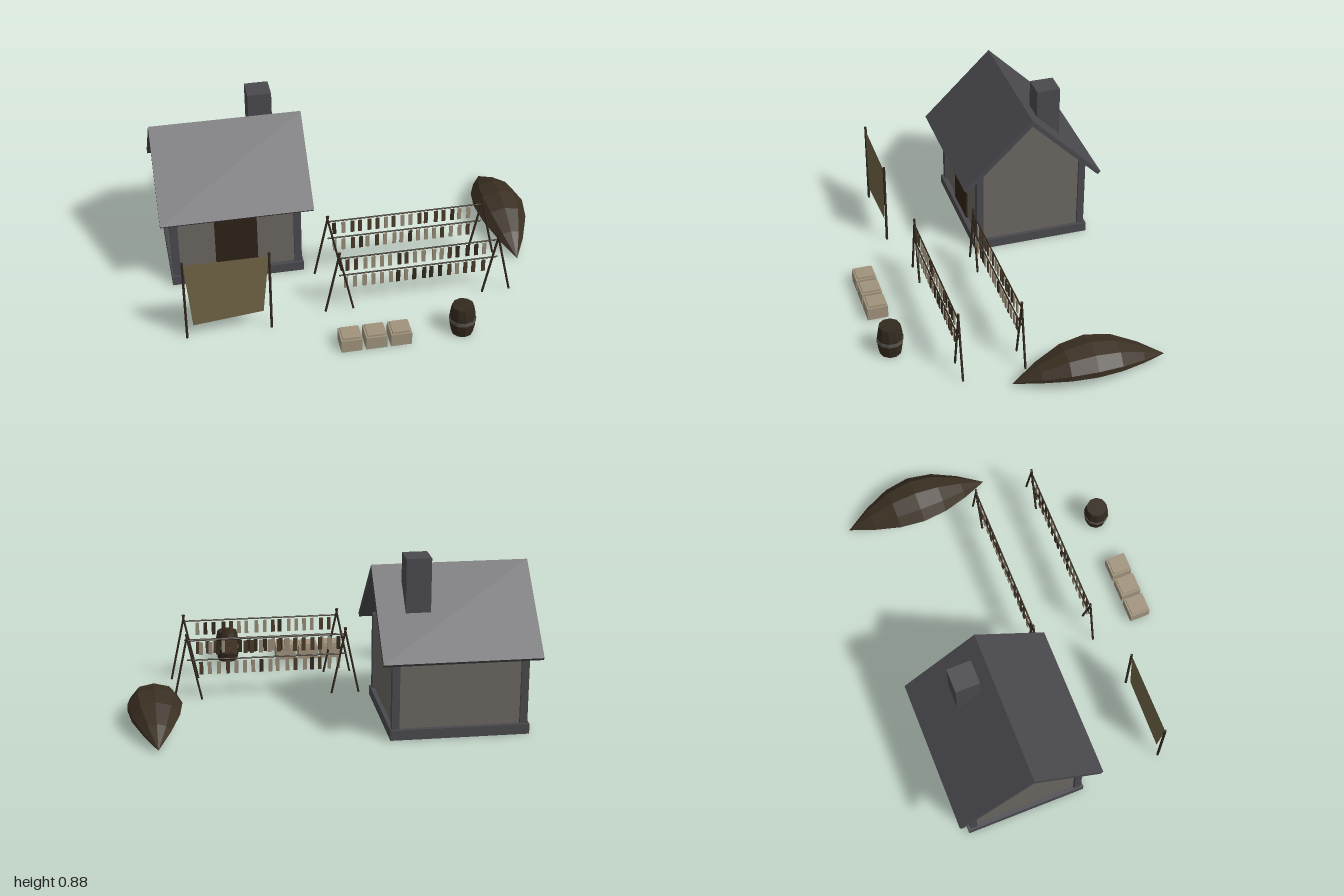
import * as THREE from 'three';

const mat = (name, color) => Object.assign(new THREE.MeshStandardMaterial({ color, flatShading: true }), { name });

export function createModel() {
  const slate = mat('slate', 0x4a494e), plaster = mat('plaster', 0x6b6761);
  const crateWood = mat('crateWood', 0xa0937c), canvas = mat('canvas', 0x716446);
  const darkWood = mat('darkWood', 0x33291e), hullWood = mat('hullWood', 0x3a2f22);
  const doorWood = mat('doorWood', 0x2d2316), iron = mat('iron', 0x58534d);
  const paleFish = mat('paleFish', 0x988b77), brownFish = mat('brownFish', 0x4a3a29);
  canvas.side = THREE.DoubleSide;

  const model = new THREE.Group();
  const group = (name) => {
    const g = new THREE.Group();
    g.name = name;
    model.add(g);
    return g;
  };
  const add = (parent, name, geo, material) => {
    const m = new THREE.Mesh(geo, material);
    m.name = name;
    parent.add(m);
    return m;
  };
  // box given by its minimum and maximum corners
  const box = (parent, name, material, x0, x1, y0, y1, z0, z1) => {
    const m = add(parent, name, new THREE.BoxGeometry(x1 - x0, y1 - y0, z1 - z0), material);
    m.position.set((x0 + x1) / 2, (y0 + y1) / 2, (z0 + z1) / 2);
    return m;
  };
  // (z, y) profile extruded along x
  const prism = (parent, name, material, pts, x0, x1) => {
    const shape = new THREE.Shape(pts.map(([z, y]) => new THREE.Vector2(z, y)));
    const geo = new THREE.ExtrudeGeometry(shape, { depth: x1 - x0, bevelEnabled: false });
    geo.rotateY(-Math.PI / 2).translate(x1, 0, 0);
    return add(parent, name, geo, material);
  };
  // round pole between two points
  const pole = (parent, name, a, b, r) => {
    const p = new THREE.Vector3(...a), q = new THREE.Vector3(...b);
    const m = add(parent, name, new THREE.CylinderGeometry(r, r, p.distanceTo(q), 6), darkWood);
    m.position.copy(p).add(q).multiplyScalar(0.5);
    m.quaternion.setFromUnitVectors(new THREE.Vector3(0, 1, 0), q.sub(p).normalize());
    return m;
  };
  let seed = 7;
  const rand = () => (seed = (seed * 16807) % 2147483647) / 2147483647;

  // house
  const house = group('house');
  box(house, 'foundation', slate, -0.955, -0.262, 0, 0.052, -0.648, -0.013);
  prism(house, 'walls', plaster,
    [[-0.04, 0.05], [-0.04, 0.455], [-0.315, 0.766], [-0.622, 0.455], [-0.622, 0.05]], -0.932, -0.283);
  for (const x of [-0.947, -0.308])
    for (const z of [-0.635, -0.062])
      box(house, 'cornerPost', slate, x, x + 0.038, 0.05, 0.457, z, z + 0.037);
  box(house, 'door', doorWood, -0.72, -0.5, 0.052, 0.39, -0.041, -0.03);
  box(house, 'doorLintel', darkWood, -0.742, -0.472, 0.385, 0.412, -0.041, -0.018);
  prism(house, 'frontRoof', slate,
    [[-0.312, 0.798], [0.06, 0.431], [0.043, 0.414], [-0.33, 0.779]], -1, -0.214);
  prism(house, 'backRoof', slate,
    [[-0.312, 0.798], [-0.295, 0.78], [-0.685, 0.396], [-0.702, 0.412]], -1, -0.214);
  box(house, 'chimney', slate, -0.478, -0.354, 0.5, 0.877, -0.508, -0.382);

  // canvas sheet stretched between two posts
  const screen = group('canvasScreen');
  for (const x of [-0.929, -0.502]) pole(screen, 'screenPost', [x, 0, 0.422], [x, 0.468, 0.422], 0.007);
  const sheet = new THREE.Shape([[-0.925, 0.45], [-0.895, 0.075], [-0.54, 0.112], [-0.505, 0.45]]
    .map(([x, y]) => new THREE.Vector2(x, y)));
  add(screen, 'canvasSheet', new THREE.ShapeGeometry(sheet), canvas).position.z = 0.424;

  // drying racks with rows of hanging fish
  for (const z of [0.032, 0.352]) {
    const rack = group('dryingRack');
    for (const x of [-0.141, 0.683])
      for (const s of [-1, 1])
        pole(rack, 'rackLeg', [x + s * 0.072, 0, z], [x - s * 0.004, 0.36, z], 0.006);
    for (const y of [0.325, 0.218]) {
      pole(rack, 'rackRail', [-0.141, y, z], [0.683, y, z], 0.004);
      for (let i = 0; i < 17; i++) {
        const x = -0.1 + i * 0.0442 + (rand() - 0.5) * 0.012;
        const kind = rand();
        box(rack, 'hangingFish', kind < 0.5 ? paleFish : kind < 0.85 ? brownFish : darkWood,
          x - 0.01, x + 0.01, y - 0.08, y - 0.012, z - 0.003, z + 0.003);
      }
    }
  }

  // crates with raised lids
  const crates = group('crates');
  for (const x of [-0.142, -0.017, 0.109]) {
    box(crates, 'crateBody', crateWood, x - 0.053, x + 0.053, 0, 0.07, 0.579, 0.687);
    box(crates, 'crateLid', crateWood, x - 0.044, x + 0.044, 0.07, 0.08, 0.588, 0.678);
  }

  // barrel
  const barrel = group('barrel');
  const staves = [[0, 0], [0.055, 0], [0.063, 0.04], [0.067, 0.082], [0.063, 0.124], [0.055, 0.164], [0, 0.164]];
  add(barrel, 'barrelStaves',
    new THREE.LatheGeometry(staves.map(([r, y]) => new THREE.Vector2(r, y)), 10), darkWood);
  add(barrel, 'barrelHoop', new THREE.CylinderGeometry(0.0685, 0.0685, 0.02, 10, 1), iron).position.y = 0.082;
  barrel.position.set(0.431, 0, 0.635);

  // overturned boat: one section scaled by a sine from tip to tip
  const section = [[0.137, 0.055], [0.137, 0.088], [0.085, 0.15], [0, 0.168], [-0.09, 0.145],
    [-0.137, 0.085], [-0.107, 0.04], [-0.01, -0.008], [0.065, 0.001]];
  const steps = 6, n = section.length, verts = [];
  const at = (i, j) => {
    const k = Math.sin(Math.PI * i / steps), [x, y] = section[j % n];
    return [0.863 + x * k, 0.016 + y * k, -0.658 + 0.794 * i / steps];
  };
  for (let i = 0; i < steps; i++)
    for (let j = 0; j < n; j++) {
      const a = at(i, j), b = at(i, j + 1), c = at(i + 1, j + 1), d = at(i + 1, j);
      if (i > 0) verts.push(...a, ...b, ...(i < steps - 1 ? c : d));
      if (i < steps - 1) verts.push(...a, ...c, ...d);
    }
  const hull = new THREE.BufferGeometry();
  hull.setAttribute('position', new THREE.Float32BufferAttribute(verts, 3));
  hull.computeVertexNormals();
  add(group('boat'), 'boatHull', hull, hullWood);

  return model;
}
